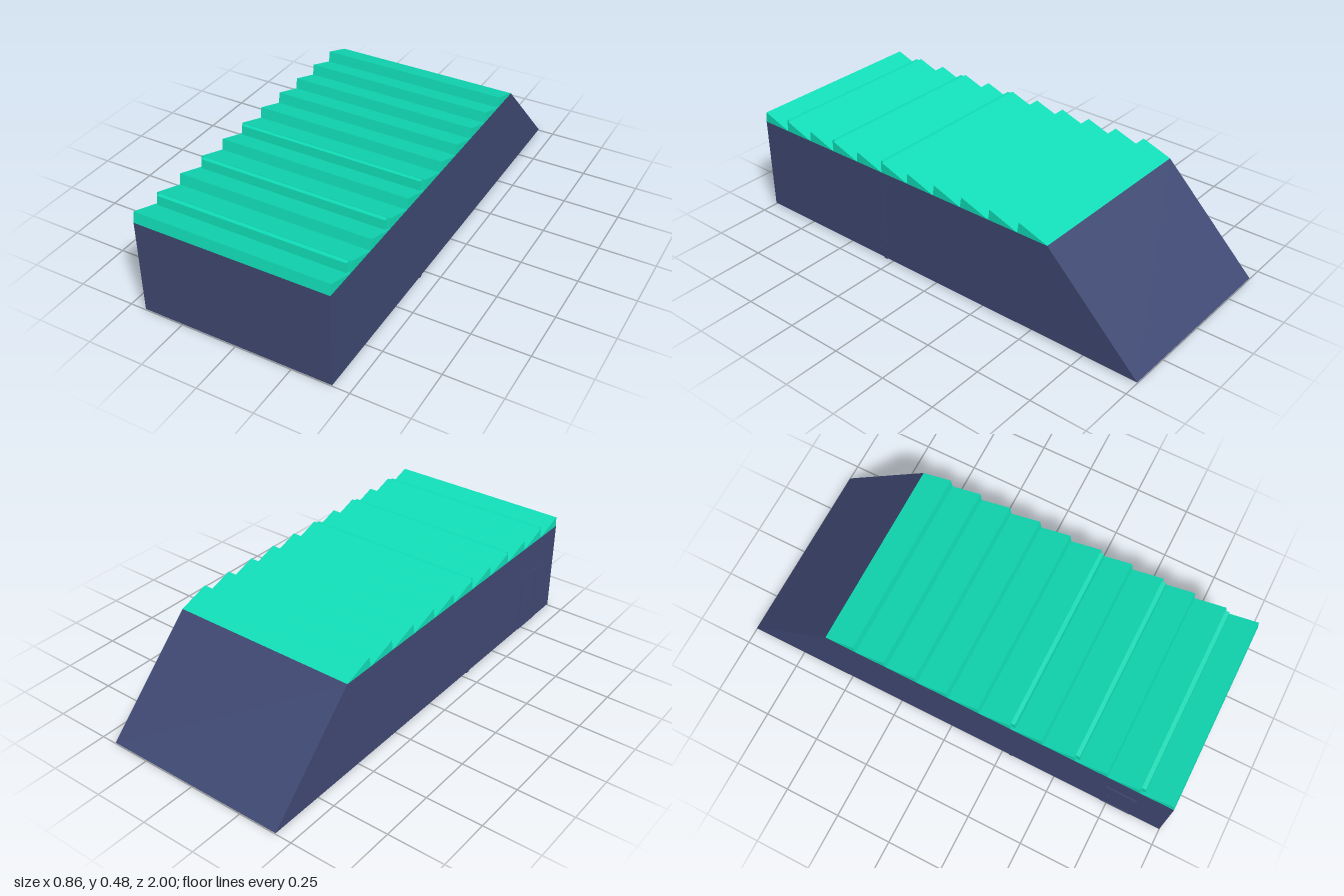
import * as THREE from 'three';

const NAVY = new THREE.MeshStandardMaterial({ color: 0x3f4872, flatShading: true });
const TEAL = new THREE.MeshStandardMaterial({ color: 0x10dcb6, flatShading: true });
const HALF_W = 0.427, FLOOR = 0.005, ROOF = 0.43, PEAK = 0.478;

// Side profile given as [z, y] points, extruded symmetrically across x
function prism(name, points, halfWidth, material) {
  const shape = new THREE.Shape(points.map(([z, y]) => new THREE.Vector2(-z, y)));
  const geo = new THREE.ExtrudeGeometry(shape, { depth: 2 * halfWidth, bevelEnabled: false });
  geo.translate(0, 0, -halfWidth).rotateY(Math.PI / 2);
  const mesh = new THREE.Mesh(geo, material);
  mesh.name = name;
  return mesh;
}

function box(name, w, h, d, x, y, z) {
  const mesh = new THREE.Mesh(new THREE.BoxGeometry(w, h, d), NAVY);
  mesh.position.set(x, y, z);
  mesh.name = name;
  return mesh;
}

// Side door: frame, panel, two hinges and a knob
function createDoor() {
  const door = new THREE.Group();
  door.name = 'door';
  const frame = new THREE.Shape();
  frame.moveTo(-0.07, 0).lineTo(0.07, 0).lineTo(0.07, 0.275).lineTo(-0.07, 0.275).closePath();
  const hole = new THREE.Path();
  hole.moveTo(-0.06, 0.01).lineTo(-0.06, 0.265).lineTo(0.06, 0.265).lineTo(0.06, 0.01).closePath();
  frame.holes.push(hole);
  const frameMesh = new THREE.Mesh(
    new THREE.ExtrudeGeometry(frame, { depth: 0.002, bevelEnabled: false }), NAVY);
  frameMesh.name = 'doorFrame';
  frameMesh.rotation.y = -Math.PI / 2;
  frameMesh.position.set(-HALF_W, FLOOR, 0.79);
  door.add(frameMesh);
  door.add(box('doorPanel', 0.002, 0.25, 0.116, -HALF_W, 0.143, 0.79));
  for (const y of [0.045, 0.243]) {
    door.add(box('doorHinge', 0.004, 0.014, 0.006, -HALF_W - 0.001, y, 0.848));
  }
  const knob = new THREE.Mesh(new THREE.CylinderGeometry(0.003, 0.003, 0.006, 8), NAVY);
  knob.name = 'doorKnob';
  knob.rotation.z = Math.PI / 2;
  knob.position.set(-HALF_W - 0.002, 0.138, 0.742);
  door.add(knob);
  return door;
}

export function createModel() {
  const model = new THREE.Group();
  model.name = 'building';

  // Hall with a sloping rear wall
  model.add(prism('hall', [[1, FLOOR], [1, ROOF], [-0.572, ROOF], [-1, FLOOR]], HALF_W, NAVY));

  // Sawtooth roof
  const roof = new THREE.Group();
  roof.name = 'sawtoothRoof';
  const count = 11, pitch = 1.572 / count;
  for (let i = 0; i < count; i++) {
    const z = 1 - i * pitch;
    roof.add(prism('roofTooth',
      [[z, ROOF], [z - 0.007, PEAK], [z - pitch, ROOF]], HALF_W, TEAL));
    // Thickened window strip on some of the teeth
    if (i === 1 || i === 3 || i === 5) {
      roof.add(prism('roofWindow',
        [[z + 0.015, ROOF], [z + 0.011, PEAK - 0.002], [z - 0.01, PEAK - 0.002], [z - 0.01, ROOF]],
        0.415, TEAL));
    }
  }
  model.add(roof);

  // Slim posts at the joint of each side wall
  for (const side of [-1, 1]) {
    model.add(box('jointPost', 0.014, ROOF, 0.016, side * (HALF_W - 0.006), ROOF / 2, 0.29));
  }

  model.add(createDoor());
  return model;
}
